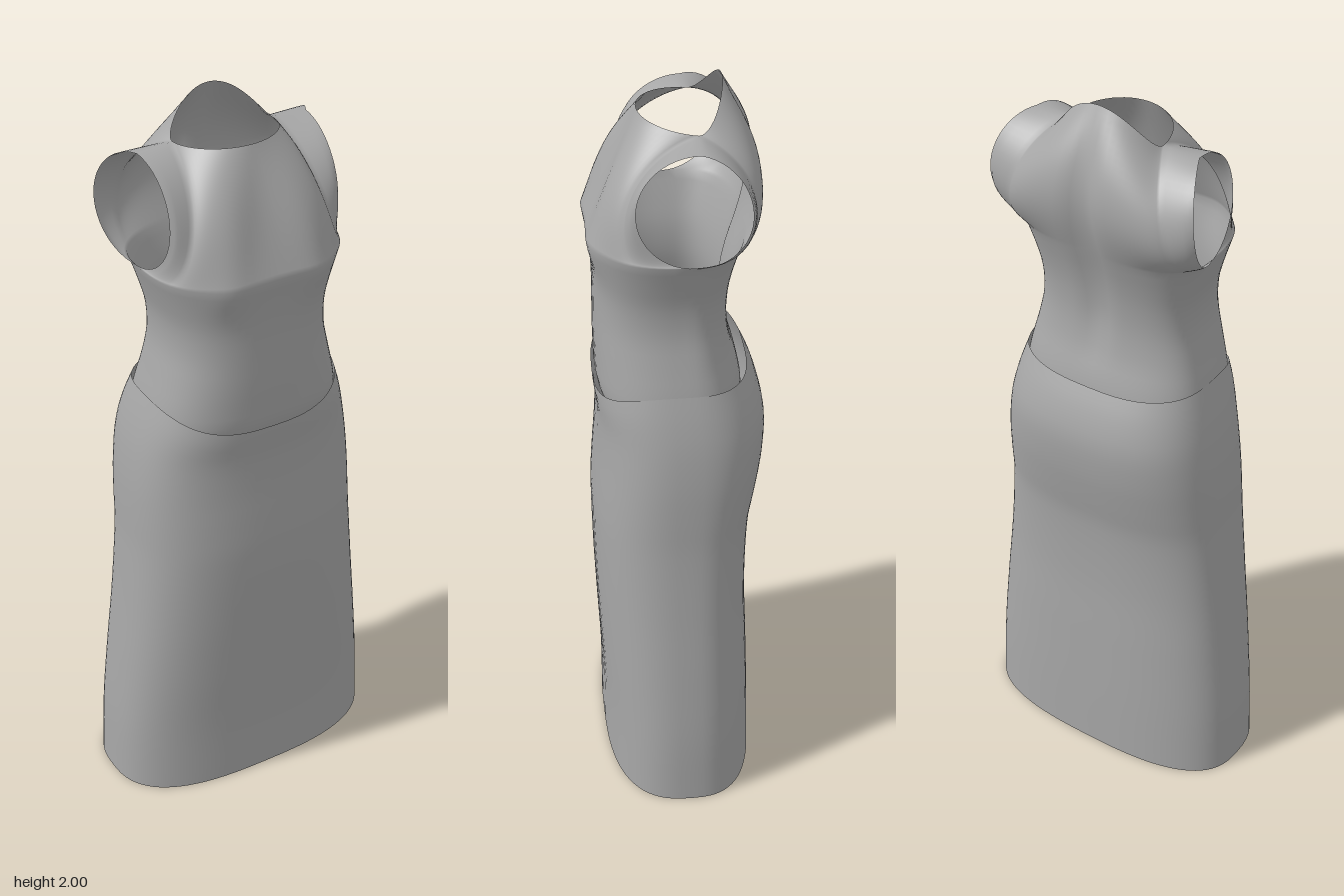
import * as THREE from 'three';
import { mergeVertices } from 'three/addons/utils/BufferGeometryUtils.js';

const { lerp } = THREE.MathUtils;
const HALF = 40;             // steps round each half (front or back)
const MID_Z = -0.01;         // depth of the side seams
const UNDERARM = 1.62;

// Profiles: height, half width, front depth, back depth
const SKIRT = [
  [0, 0.395, 0.207, -0.2], [0.2, 0.386, 0.207, -0.196], [0.4, 0.367, 0.215, -0.19],
  [0.6, 0.345, 0.222, -0.184], [0.8, 0.326, 0.224, -0.192], [0.9, 0.321, 0.218, -0.21],
  [1.0, 0.314, 0.21, -0.226], [1.1, 0.3, 0.207, -0.229], [1.18, 0.281, 0.215, -0.208],
  [1.25, 0.259, 0.212, -0.176],
];
const BODICE = [
  [1.14, 0.27, 0.19, -0.165], [1.2, 0.266, 0.207, -0.166], [1.25, 0.257, 0.209, -0.156],
  [1.32, 0.239, 0.21, -0.136], [1.4, 0.222, 0.209, -0.127], [1.48, 0.223, 0.209, -0.132],
  [1.55, 0.24, 0.214, -0.146], [1.62, 0.262, 0.223, -0.167],
];

// Smooth reading of a profile table at height y
function profile(table, y) {
  let i = 0;
  while (i < table.length - 2 && y > table[i + 1][0]) i++;
  const slope = (j, c) => {
    const a = table[Math.max(j - 1, 0)], b = table[Math.min(j + 1, table.length - 1)];
    return (b[c] - a[c]) / (b[0] - a[0]);
  };
  const p = table[i], q = table[i + 1], h = q[0] - p[0];
  const t = THREE.MathUtils.clamp((y - p[0]) / h, 0, 1), t2 = t * t, t3 = t2 * t;
  return [1, 2, 3].map((c) =>
    (2 * t3 - 3 * t2 + 1) * p[c] + (t3 - 2 * t2 + t) * h * slope(i, c) +
    (3 * t2 - 2 * t3) * q[c] + (t3 - t2) * h * slope(i + 1, c));
}

// Point on a rounded, flattened ring: angle 0 is the left side, 90 degrees the front
function ring(table, a, y) {
  const [w, front, back] = profile(table, y);
  const c = Math.cos(a), s = Math.sin(a), e = 0.74;
  const depth = (s >= 0 ? front : back) - MID_Z;
  return new THREE.Vector3(
    Math.sign(c) * w * Math.abs(c) ** e, y, MID_Z + depth * Math.abs(s) ** e);
}

const bell = (d, width) => Math.exp(-((d / width) ** 2));

// Lower bodice ring with bust and spine shaping
function bodiceRing(a, y) {
  const p = ring(BODICE, a, y);
  if (Math.sin(a) > 0) {
    p.z += 0.012 * bell(Math.abs(p.x) - 0.125, 0.06) * bell(y - 1.61, 0.07);
  } else {
    p.z += 0.016 * bell(p.x, 0.035) * THREE.MathUtils.smoothstep(y, 1.25, 1.45);
  }
  return p;
}

// Shoulder seam followed by the neckline; t runs from 0 at the armhole to 1 at the centre
function topEdge(t, front, sign) {
  if (t <= 0.3001) {
    const k = t / 0.3;
    return new THREE.Vector3(sign * lerp(0.235, 0.137, k), lerp(1.9, 1.905, k), lerp(-0.04, -0.045, k));
  }
  const q = ((t - 0.3) / 0.7) * Math.PI / 2, s = Math.sin(q);
  return new THREE.Vector3(
    sign * 0.137 * Math.cos(q),
    1.905 + (front ? 0.018 * s : 0.095 * s * s),
    -0.045 + (front ? 0.137 : -0.07) * s);
}

// Upper bodice: from the underarm ring (v = 0) to the shoulders and neck (v = 1)
function upperBodice(a, v, front, step) {
  const t = 1 - Math.abs(1 - (2 * step) / HALF);
  const sign = Math.cos(a) >= 0 ? 1 : -1;
  const p = bodiceRing(a, UNDERARM).lerp(topEdge(t, front, sign), v);
  const arc = Math.sin(Math.PI * v), k = (1 - t) ** 1.3;
  // Armhole curve, fading towards the centre
  p.x += sign * k * arc * (front ? -0.015 : 0.05);
  p.y += k * (1.76 - 0.14 * Math.cos(Math.PI * v) - lerp(UNDERARM, 1.9, v));
  p.z += k * arc * (front ? 0.14 : -0.13);
  // Shoulder blades with the spine hollow between them
  if (!front) p.z -= (1 - k) * arc * (0.056 - 0.012 * bell(p.x, 0.035));
  return p;
}

// Grid of points joined into triangles facing outwards
function addGrid(positions, cols, rows, point) {
  const grid = [];
  for (let j = 0; j <= rows; j++) {
    grid.push([]);
    for (let i = 0; i <= cols; i++) grid[j].push(point(i, j));
  }
  for (let j = 0; j < rows; j++) {
    for (let i = 0; i < cols; i++) {
      const a = grid[j][i], b = grid[j + 1][i], c = grid[j][i + 1], d = grid[j + 1][i + 1];
      for (const p of [a, b, c, c, b, d]) positions.push(p.x, p.y, p.z);
    }
  }
}

function smoothGeometry(positions) {
  const raw = new THREE.BufferGeometry();
  raw.setAttribute('position', new THREE.Float32BufferAttribute(positions, 3));
  const geometry = mergeVertices(raw, 1e-5);
  geometry.computeVertexNormals();
  return geometry;
}

export function createModel() {
  const group = new THREE.Group();
  group.name = 'dress';
  const fabric = new THREE.MeshStandardMaterial({ color: 0xa6a6a6, side: THREE.DoubleSide });
  fabric.name = 'grey fabric';

  const addMesh = (name, positions) => {
    const mesh = new THREE.Mesh(smoothGeometry(positions), fabric);
    mesh.name = name;
    group.add(mesh);
  };

  // Skirt: open tube whose top edge dips at the front
  const skirt = [];
  addGrid(skirt, HALF * 2, 44, (i, j) => {
    const a = (i / HALF) * Math.PI, s = Math.sin(a);
    const top = 1.25 - (s > 0 ? 0.06 : 0.012) * s * s;
    return ring(SKIRT, a, (top * j) / 44);
  });
  addMesh('skirt', skirt);

  // Bodice: front and back halves joined at the side and shoulder seams
  const bodice = [], lowRows = 20, highRows = 24;
  for (const front of [true, false]) {
    addGrid(bodice, HALF, lowRows + highRows, (i, j) => {
      const a = (i / HALF + (front ? 0 : 1)) * Math.PI;
      return j <= lowRows
        ? bodiceRing(a, lerp(1.14, UNDERARM, j / lowRows))
        : upperBodice(a, (j - lowRows) / highRows, front, i);
    });
  }
  addMesh('bodice', bodice);

  return group;
}
